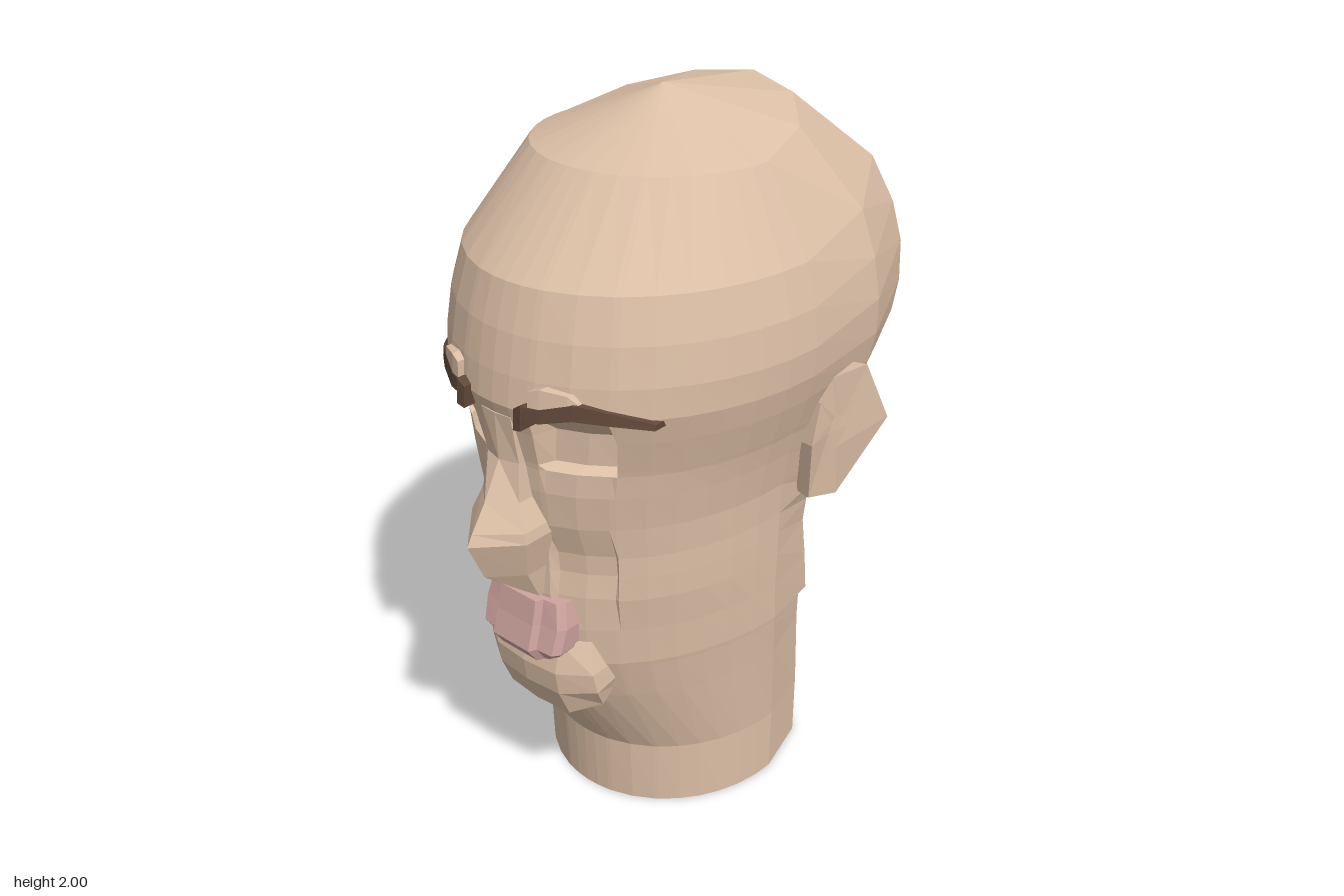
import * as THREE from 'three';

const skin = new THREE.MeshStandardMaterial({ color: 0xdcbfa6 });
skin.name = 'skin';
const browBrown = new THREE.MeshStandardMaterial({ color: 0x5f4738 });
browBrown.name = 'browBrown';
const lipPink = new THREE.MeshStandardMaterial({ color: 0xcfa49f });
lipPink.name = 'lipPink';
const { lerp, clamp, degToRad } = THREE.MathUtils;

// Joins closed rings of points into a faceted, capped solid.
// Each ring runs counter-clockwise as seen from the first end.
function loft(name, rings, material) {
  const out = [];
  const tri = (...pts) => pts.forEach((p) => out.push(...p));
  const middle = (r) => [0, 1, 2].map((k) => r.reduce((s, p) => s + p[k], 0) / r.length);
  const n = rings[0].length;
  const first = rings[0], last = rings[rings.length - 1];
  const a0 = middle(first), b0 = middle(last);
  for (let j = 0; j < n; j++) {
    const k = (j + 1) % n;
    if (first[0] !== first[1]) tri(a0, first[j], first[k]);
    tri(b0, last[k], last[j]);
    for (let i = 0; i + 1 < rings.length; i++) {
      const r = rings[i], s = rings[i + 1];
      tri(r[j], s[j], s[k]);
      tri(r[j], s[k], r[k]);
    }
  }
  const g = new THREE.BufferGeometry();
  g.setAttribute('position', new THREE.Float32BufferAttribute(out, 3));
  g.computeVertexNormals();
  const mesh = new THREE.Mesh(g, material);
  mesh.name = name;
  return mesh;
}

const mirror = (rings) => rings.map((r) => r.map(([x, y, z]) => [-x, y, z]).reverse());

// Head sections: front height, back height, half width, front z, back z,
// width of the back corners (0 round, 1 full), inset beside the nose
const SECTIONS = [
  [1.87, 1.96, 0.33, 0.365, -0.33, 0, 0],
  [1.65, 1.78, 0.458, 0.58, -0.61, 0.6, 0],
  [1.54, 1.65, 0.488, 0.615, -0.69, 0.9, 0],
  [1.44, 1.53, 0.5, 0.635, -0.735, 1, 0],
  [1.36, 1.4, 0.495, 0.645, -0.752, 1, 0],
  [1.29, 1.3, 0.478, 0.625, -0.742, 1, 0.06],
  [1.2, 1.23, 0.45, 0.605, -0.722, 1, 0.04],
  [1.185, 1.2, 0.445, 0.603, -0.705, 1, 0.005],
  [1.12, 1.13, 0.43, 0.6, -0.67, 0.9, 0],
  [1.02, 1.03, 0.412, 0.588, -0.595, 0.8, 0],
  [0.93, 0.94, 0.407, 0.575, -0.46, 0.5, 0.015],
  [0.87, 0.87, 0.406, 0.575, -0.36, 0.1, 0.02],
  [0.8, 0.8, 0.405, 0.578, -0.34, 0, 0.012],
  [0.7, 0.65, 0.403, 0.575, -0.38, 0, 0],
  [0.585, 0.505, 0.4, 0.57, -0.405, 0, 0],
  [0.57, 0.5, 0.398, 0.565, -0.347, -0.35, 0],
  [0.45, 0.45, 0.386, 0.515, -0.352, -0.2, 0],
  [0.2, 0.2, 0.365, 0.378, -0.385, 0, 0],
  [0, 0, 0.362, 0.37, -0.39, 0, 0],
];
const FRONT_ANGLES = [0, 6, 12, 14, 24, 34, 36, 45, 54, 63, 72, 81, 90];

function headRing([y, yb, w, f, b, k, inset]) {
  // The neck leans back, so its sections centre further back lower down
  const cz = 0.03 - 0.133 * clamp(0.65 - y, 0, 0.45);
  // The jaw narrows towards the chin
  const taper = 0.04 * Math.max(0, 1 - ((y - 0.57) / 0.25) ** 2);
  const half = FRONT_ANGLES.map((deg) => {
    const t = degToRad(deg);
    const dent = deg >= 14 && deg <= 34 ? inset : 0;
    const s = 1 - taper * Math.sin(2 * t);
    return [w * s * Math.sin(t), y, cz + (f - cz) * s * Math.cos(t) - dent];
  });
  const back = cz - b;
  half.push([w * lerp(0.87, 0.98, k), lerp(y, yb, 0.4), cz - back * lerp(0.5, 0.36, k)]);
  half.push([w * lerp(0.5, 0.7, k), lerp(y, yb, 0.78), cz - back * lerp(0.87, 0.763, k)]);
  const other = half.slice(1).reverse().map(([x, py, z]) => [-x, py, z]);
  return [...half, [0, yb, b], ...other];
}

// Ear: sunken centre, rim, back of the rim, root against the head
const EAR_OUTLINE = [[-0.02, 1.13], [-0.055, 0.95], [-0.125, 0.95], [-0.205, 1.18],
  [-0.165, 1.33], [-0.075, 1.31], [-0.04, 1.25]];
function earRings() {
  const ring = (scale, dx) => EAR_OUTLINE.map(([oz, oy]) => {
    const z = -0.105 + (oz + 0.105) * scale;
    const y = 1.15 + (oy - 1.15) * scale;
    return [0.455 - 0.55 * z - (y - 1.17) ** 2 + dx, y, z];
  });
  return [ring(0.25, -0.03), ring(1, 0), ring(0.97, -0.04), ring(0.65, -0.1)];
}

// Strips across the forehead, stations: x, top, bottom, front z
const BROW = [[0.085, 1.375, 1.32, 0.66], [0.11, 1.39, 1.325, 0.66], [0.112, 1.385, 1.355, 0.655],
  [0.15, 1.385, 1.35, 0.64], [0.22, 1.405, 1.365, 0.6], [0.29, 1.385, 1.355, 0.545],
  [0.365, 1.355, 1.34, 0.472]];
const BROW_RIDGE = [[0.12, 1.425, 1.36, 0.645], [0.15, 1.435, 1.36, 0.635],
  [0.21, 1.425, 1.37, 0.603], [0.23, 1.4, 1.37, 0.585]];
const stripRings = (stations) => stations.map(([x, t, b, z]) =>
  [[x, b, z], [x, t, z - 0.005], [x, t, z - 0.05], [x, b, z - 0.05]]);

export function createModel() {
  const head = new THREE.Group();
  head.name = 'head';

  // Skull, face and neck; the first ring is a point at the crown
  const crown = [0, 2, 0.03];
  const rings = SECTIONS.map(headRing);
  head.add(loft('skullAndNeck', [rings[0].map(() => crown), ...rings], skin));

  // Nose stations: height, half width, ridge z, side z
  const nose = [[1.33, 0.05, 0.64, 0.635], [1.2, 0.055, 0.635, 0.62],
    [1.1, 0.065, 0.69, 0.635], [1.03, 0.095, 0.738, 0.65], [1.0, 0.1, 0.755, 0.65],
    [0.89, 0.075, 0.707, 0.63], [0.8, 0.065, 0.6, 0.585]];
  head.add(loft('nose', nose.map(([y, w, zt, zs]) =>
    [[0, y, zt], [w, y, zs], [w, y, 0.5], [-w, y, 0.5], [-w, y, zs]]), skin));

  // Lips stations: height, half width, front z
  const lips = [[0.79, 0.13, 0.6], [0.72, 0.145, 0.615], [0.65, 0.14, 0.635], [0.605, 0.1, 0.605]];
  head.add(loft('lips', lips.map(([y, w, z]) => {
    const side = [[0.065, y, z], [0.075, y, z - 0.02], [w - 0.015, y, z - 0.025],
      [w, y, z - 0.045], [w, y, 0.5]];
    return [[0, y, z], ...side, ...mirror([side])[0]];
  }), lipPink));

  // Chin stations: height at front, height at back, half width, front z
  const chin = [[0.66, 0.66, 0.17, 0.575], [0.57, 0.58, 0.195, 0.595],
    [0.5, 0.53, 0.2, 0.585], [0.415, 0.487, 0.185, 0.55]];
  head.add(loft('chin', chin.map(([y, yb, w, z]) => {
    const side = [[0.11, y, z - 0.01], [w, (y + yb) / 2, z - 0.065], [w, yb, 0.44]];
    return [[0, y, z], ...side, ...mirror([side])[0]];
  }), skin));

  // Mirrored pairs
  const pairs = [['Ear', earRings(), skin], ['Eyebrow', stripRings(BROW), browBrown],
    ['BrowRidge', stripRings(BROW_RIDGE), skin]];
  for (const [part, partRings, material] of pairs) {
    head.add(loft('left' + part, partRings, material));
    head.add(loft('right' + part, mirror(partRings), material));
  }
  return head;
}
